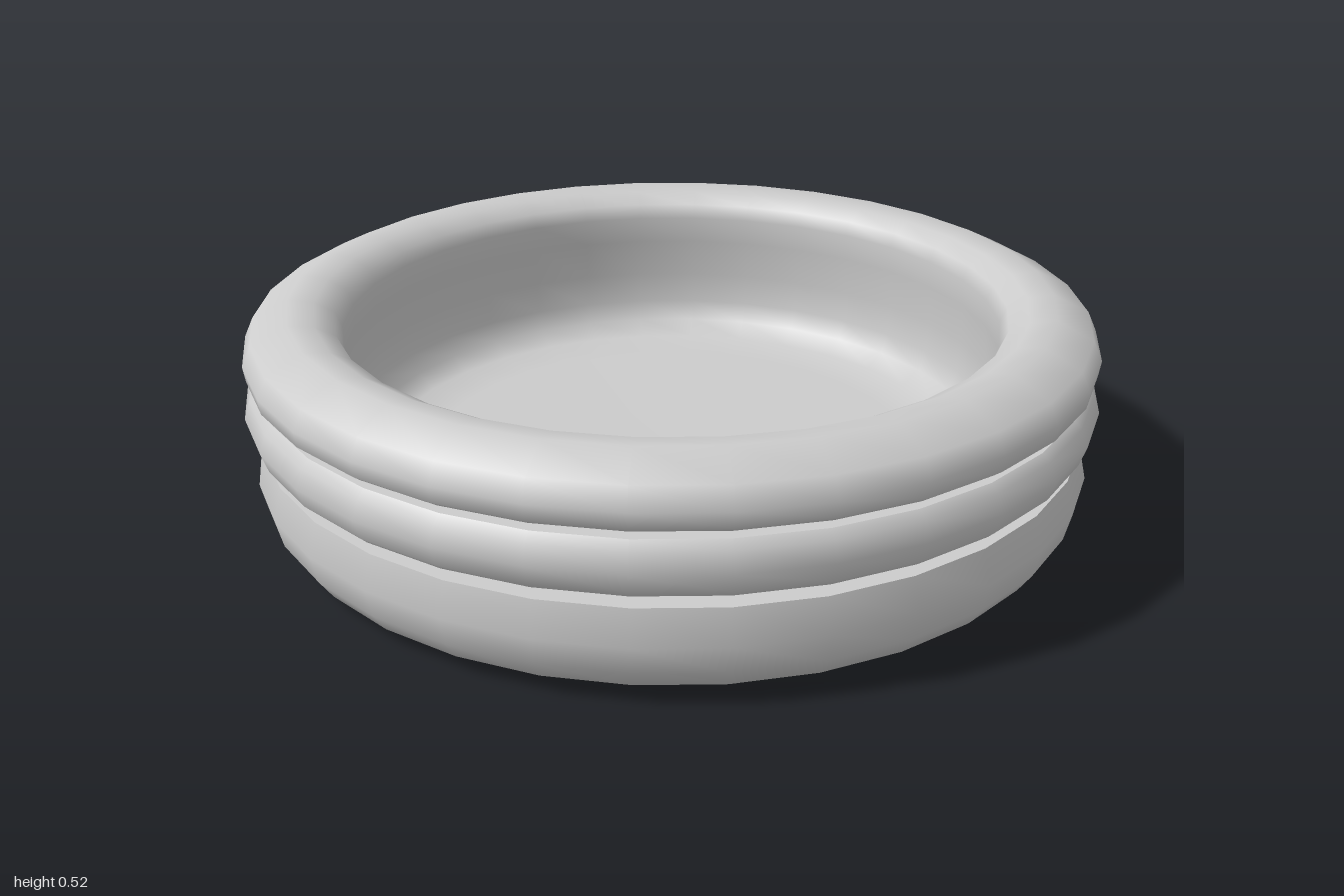
import * as THREE from 'three';

const SIDES = 32;

export function createModel() {
  const pool = new THREE.Group();
  pool.name = 'paddlingPool';
  const material = new THREE.MeshStandardMaterial({ color: 0xcccccc });

  // Revolves a [radius, height] profile, listed from the bottom outwards and up
  const turn = (name, profile) => {
    const points = profile.map(([r, y]) => new THREE.Vector2(r, y));
    const mesh = new THREE.Mesh(new THREE.LatheGeometry(points, SIDES), material);
    mesh.name = name;
    pool.add(mesh);
  };

  // Seam between two tubes: flat ledge, recessed wall, flat overhang
  const seam = (name, radius, low, high) => {
    turn(`${name}Ledge`, [[0.966, low], [radius, low]]);
    turn(`${name}Wall`, [[radius, low], [radius, high]]);
    turn(`${name}Overhang`, [[radius, high], [0.97, high]]);
  };

  // Flat underside curving up into the lowest tube
  turn('baseTube', [
    [0, 0], [0.83, 0], [0.94, 0.035], [0.97, 0.08], [0.985, 0.145], [0.966, 0.222],
  ]);
  seam('lowerSeam', 0.92, 0.222, 0.25);

  turn('middleTube', [[0.97, 0.25], [0.985, 0.265], [1, 0.31], [0.985, 0.352], [0.966, 0.368]]);
  seam('upperSeam', 0.93, 0.368, 0.386);

  // Top tube, rolling over the rim
  turn('topTube', [
    [0.97, 0.386], [0.988, 0.4], [0.993, 0.435], [0.972, 0.48],
    [0.89, 0.52], [0.83, 0.51], [0.785, 0.485], [0.77, 0.45], [0.775, 0.38],
  ]);

  // Inner wall rounding into the floor
  turn('innerWallAndFloor', [
    [0.775, 0.38], [0.782, 0.28], [0.775, 0.2], [0.755, 0.15], [0.71, 0.115],
    [0.6, 0.105], [0, 0.1],
  ]);

  return pool;
}
